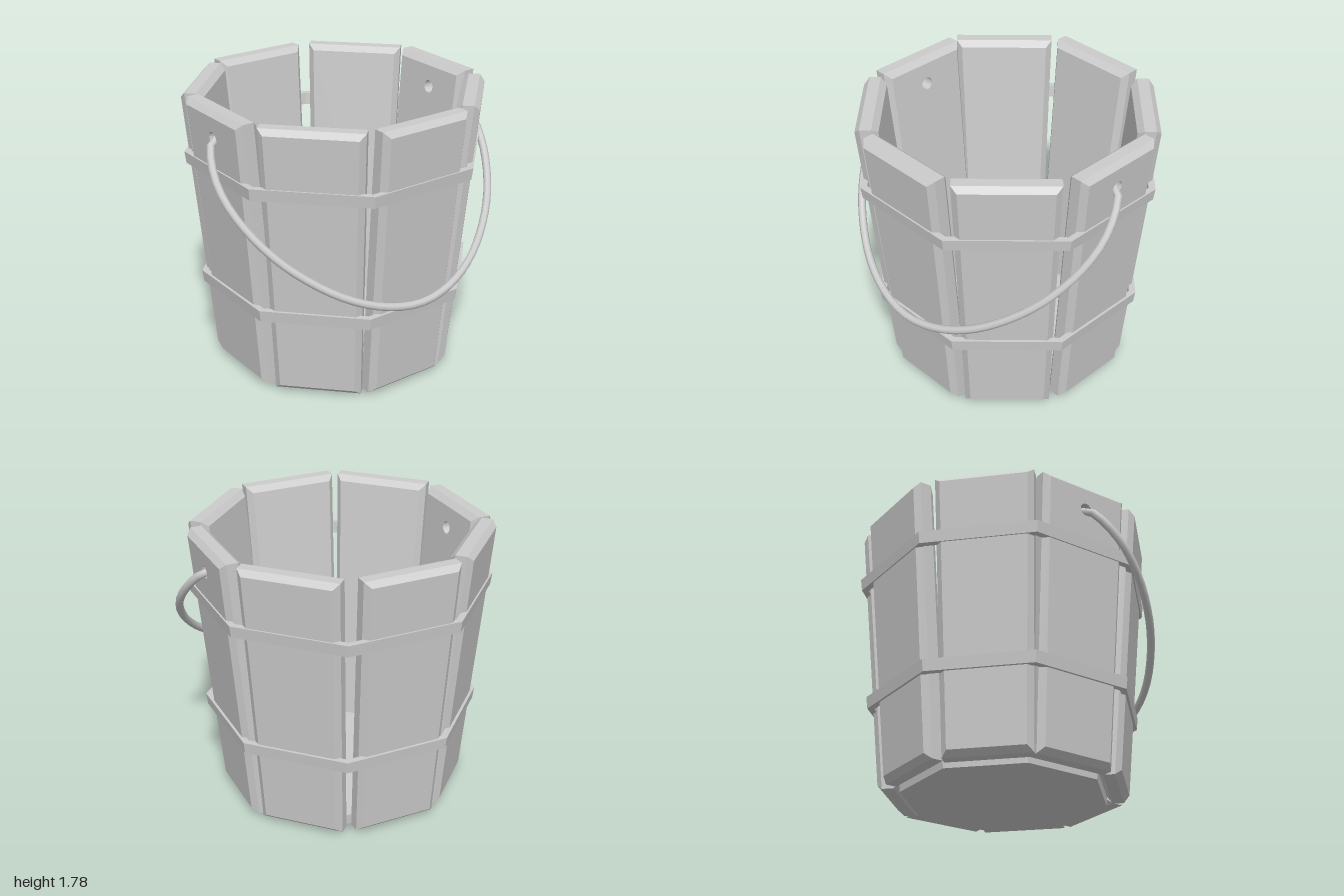
import * as THREE from 'three';

const BOTTOM = 0.02, TOP = 1.78, THICK = 0.14, BEVEL = 0.035;
const HOLE_Y = 1.61, HOLE_R = 0.04;
const OCT = 1 / Math.cos(Math.PI / 8); // flat-to-corner ratio of an octagon

const flat = new THREE.MeshStandardMaterial({ color: 0xcccccc, flatShading: true });
const smooth = new THREE.MeshStandardMaterial({ color: 0xcccccc, side: THREE.DoubleSide });

function addMesh(parent, name, geometry, material) {
  const mesh = new THREE.Mesh(geometry, material);
  mesh.name = name;
  parent.add(mesh);
  return mesh;
}

// Outer distance of the leaning stave faces at height y
const outerAt = (y) => 0.737 + 0.09 * (y - BOTTOM);

// Chamfered, tapered board that leans outwards, with an optional drilled hole
function staveGeometry(shift, drilled) {
  const shape = new THREE.Shape([
    new THREE.Vector2(-0.265, BOTTOM), new THREE.Vector2(0.265, BOTTOM),
    new THREE.Vector2(0.307, TOP), new THREE.Vector2(-0.307, TOP),
  ]);
  if (drilled) {
    shape.holes.push(new THREE.Path().absarc(-shift, HOLE_Y, HOLE_R, 0, Math.PI * 2, true));
  }
  const g = new THREE.ExtrudeGeometry(shape, {
    depth: THICK - 2 * BEVEL, bevelThickness: BEVEL, bevelSize: BEVEL,
    bevelOffset: -BEVEL, bevelSegments: 1, curveSegments: 8,
  });
  const p = g.attributes.position;
  for (let i = 0; i < p.count; i++) {
    let x = p.getX(i) + shift, y = p.getY(i);
    const d = Math.hypot(x, y - HOLE_Y);
    if (drilled && d < 0.1) { // keep the hole straight, without a chamfer
      x *= HOLE_R / d;
      y = HOLE_Y + (y - HOLE_Y) * HOLE_R / d;
    }
    p.setXYZ(i, x, y, p.getZ(i) + BEVEL - THICK + outerAt(y));
  }
  g.computeVertexNormals();
  return g;
}

// Octagonal band with a slight taper
function hoopGeometry(y0, y1, r0, r1) {
  const w = 0.04;
  const profile = [[r0, y0], [r1, y1], [r1 - w, y1], [r0 - w, y0], [r0, y0]]
    .map(([r, y]) => new THREE.Vector2(r * OCT, y));
  return new THREE.LatheGeometry(profile, 8, Math.PI / 8);
}

export function createModel() {
  const bucket = new THREE.Group();
  bucket.name = 'bucket';

  // Eight staves, some set slightly off centre
  const shifts = [0, 0, 0, 0, 0.018, 0, 0.04, 0.035];
  shifts.forEach((shift, i) => {
    const stave = addMesh(bucket, 'stave', staveGeometry(shift, i % 4 === 0), flat);
    stave.rotation.y = i * Math.PI / 4;
  });

  // Floor
  const floor = addMesh(bucket, 'floor',
    new THREE.CylinderGeometry(0.6 * OCT, 0.595 * OCT, 0.07, 8), flat);
  floor.rotation.y = Math.PI / 8;
  floor.position.y = 0.035;

  // Hoops
  addMesh(bucket, 'upperHoop', hoopGeometry(1.34, 1.415, 0.864, 0.873), flat);
  addMesh(bucket, 'lowerHoop', hoopGeometry(0.525, 0.6, 0.797, 0.806), flat);

  // Handle: a bail hanging from both holes in a tilted plane, as (z, y) points
  const half = [[0.85, 1.61], [0.89, 1.6], [0.94, 1.53], [0.972, 1.4], [0.953, 1.27],
    [0.875, 1.11], [0.74, 0.95], [0.5, 0.775], [0.25, 0.675]];
  const path = [...half, [0, 0.64], ...half.map(([z, y]) => [-z, y]).reverse()];
  const curve = new THREE.CatmullRomCurve3(
    path.map(([z, y]) => new THREE.Vector3((1.61 - y) * 0.9, y, z)));
  addMesh(bucket, 'handle', new THREE.TubeGeometry(curve, 48, 0.025, 8), smooth);

  return bucket;
}
